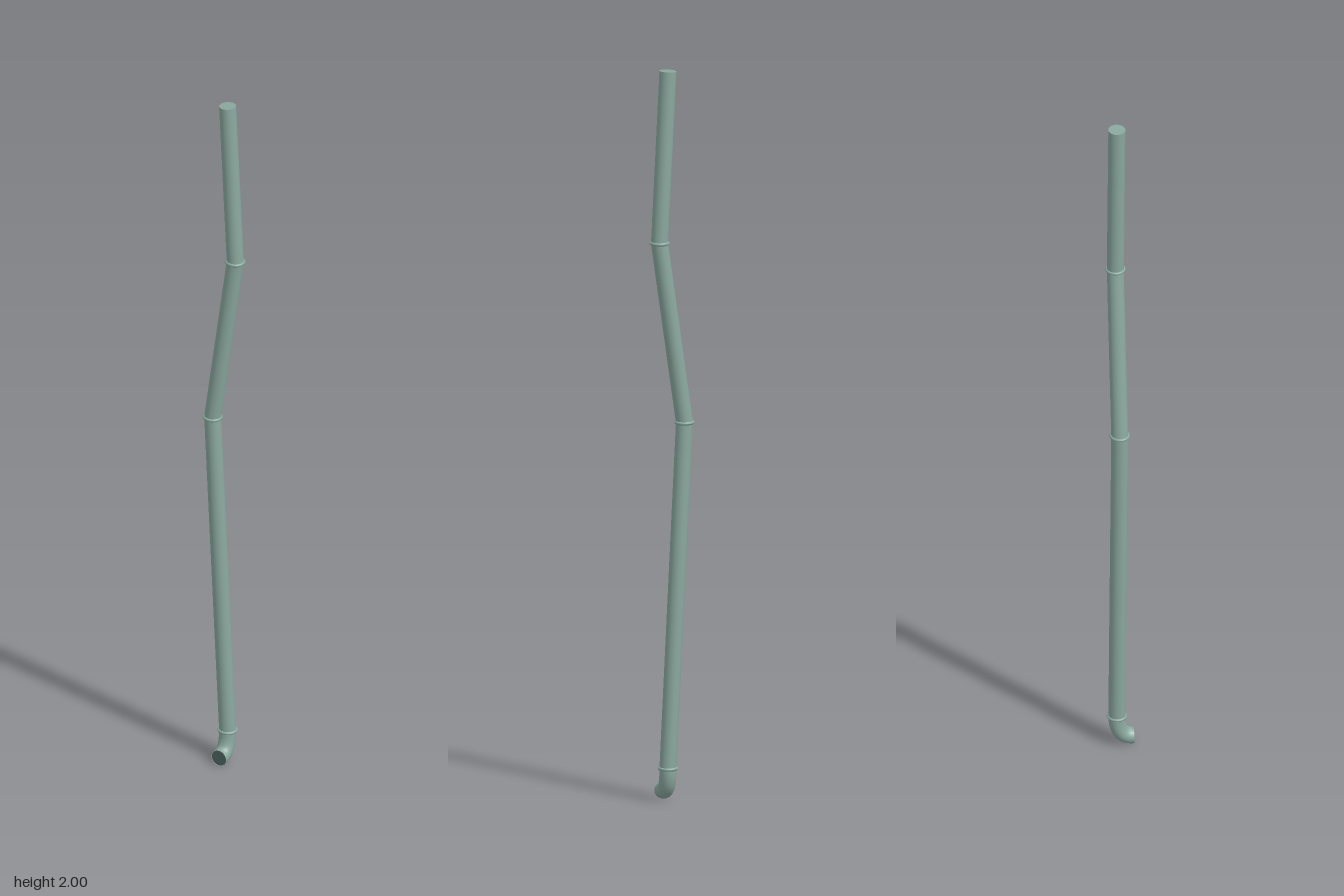
import * as THREE from 'three';

export function createModel() {
  const model = new THREE.Group();
  const paint = new THREE.MeshStandardMaterial({ color: 0x8aa89e, side: THREE.DoubleSide });
  const dark = new THREE.MeshStandardMaterial({ color: 0x4c625b });
  const R = 0.023, Z = -0.01, SIDES = 24;
  const up = new THREE.Vector3(0, 1, 0);

  const add = (name, geometry, material = paint) => {
    const mesh = new THREE.Mesh(geometry, material);
    mesh.name = name;
    model.add(mesh);
    return mesh;
  };

  // Straight pipe runs between the bends, from bottom to top
  const nodes = [[0.011, 0.09], [-0.036, 1.035], [0.035, 1.53], [0.011, 2]]
    .map(([x, y]) => new THREE.Vector3(x, y, Z));
  const names = ['lowerPipe', 'offsetPipe', 'upperPipe'];
  names.forEach((name, i) => {
    const a = nodes[i], b = nodes[i + 1];
    const dir = b.clone().sub(a);
    const pipe = add(name, new THREE.CylinderGeometry(R, R, dir.length(), SIDES));
    pipe.position.copy(a).add(b).multiplyScalar(0.5);
    pipe.quaternion.setFromUnitVectors(up, dir.normalize());
  });

  // Rounded collar at each joint
  nodes.slice(0, 3).forEach((p, i) => {
    const collar = add(['bottomCollar', 'middleCollar', 'upperCollar'][i],
      new THREE.TorusGeometry(R, 0.0045, 10, SIDES));
    collar.rotation.x = Math.PI / 2;
    collar.position.copy(p);
  });

  // Curved outlet turning toward the front
  const bend = new THREE.QuadraticBezierCurve3(
    nodes[0],
    new THREE.Vector3(0.011, R, Z),
    new THREE.Vector3(0.011, R, 0.035));
  add('outletElbow', new THREE.TubeGeometry(bend, 16, R, SIDES));

  // Dark mouth of the outlet
  const mouth = add('outletMouth', new THREE.CircleGeometry(R * 0.96, SIDES), dark);
  mouth.position.set(0.011, R, 0.0345);

  return model;
}
